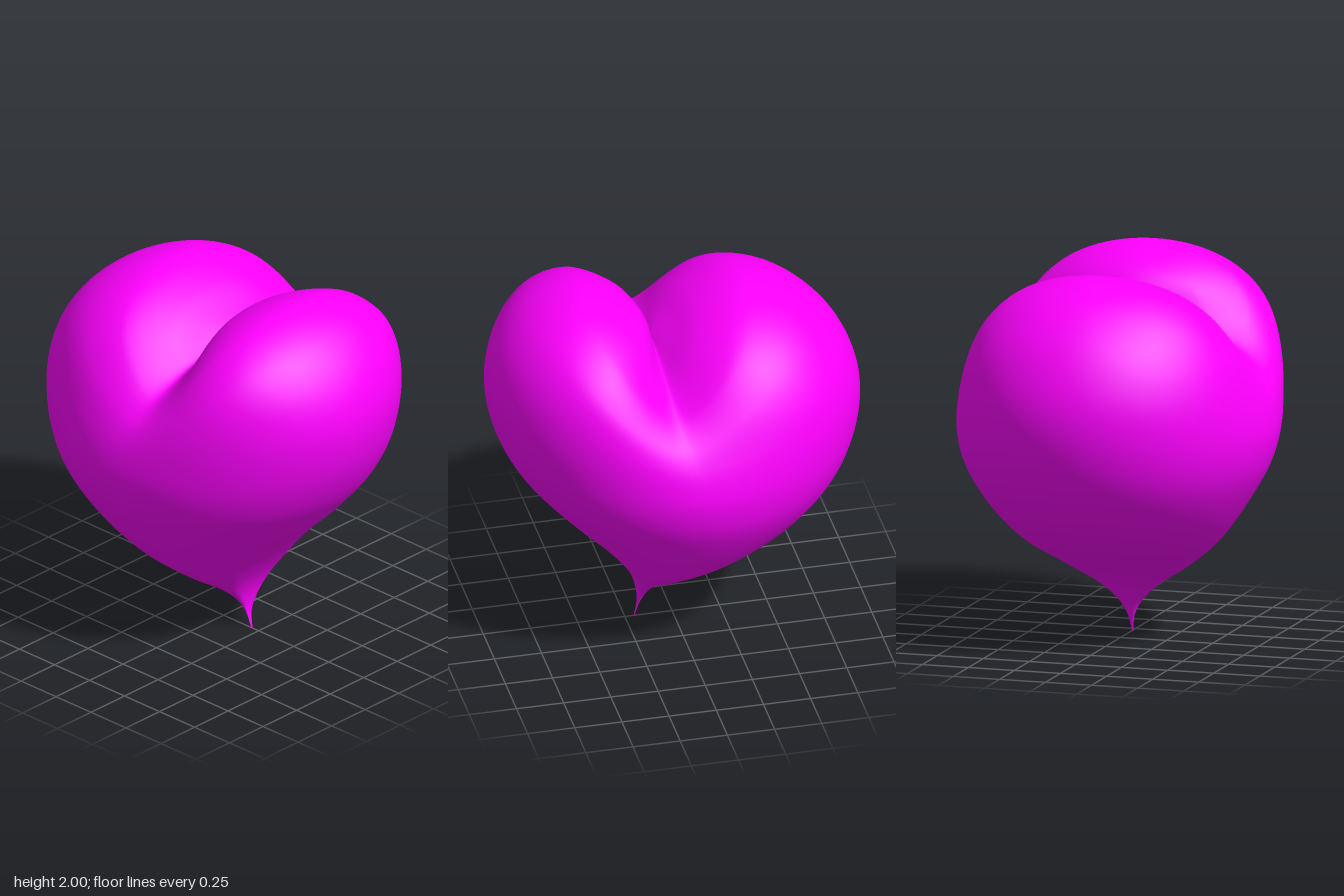
import * as THREE from 'three';

// Rings from the cleft down to the tip: left x, y | right x, y | front x, y, z
const RINGS = [
  [0.12, 1.70, 0.12, 1.70, 0.12, 1.70, 0],
  [0.03, 1.775, 0.145, 1.80, 0.12, 1.68, 0.17],
  [-0.12, 1.89, 0.24, 1.91, 0.12, 1.62, 0.40],
  [-0.35, 1.965, 0.50, 2.00, 0.11, 1.52, 0.62],
  [-0.63, 1.885, 0.74, 1.925, 0.08, 1.42, 0.735],
  [-0.85, 1.69, 0.90, 1.75, 0.04, 1.32, 0.79],
  [-0.96, 1.45, 0.975, 1.50, 0.0, 1.20, 0.82],
  [-0.972, 1.23, 0.945, 1.25, -0.02, 1.09, 0.825],
  [-0.89, 0.96, 0.83, 1.00, -0.03, 0.93, 0.785],
  [-0.72, 0.725, 0.64, 0.77, -0.02, 0.71, 0.66],
  [-0.45, 0.525, 0.44, 0.57, 0.03, 0.53, 0.52],
  [-0.15, 0.385, 0.31, 0.41, 0.10, 0.38, 0.34],
  [0.04, 0.26, 0.23, 0.28, 0.15, 0.26, 0.16],
  [0.12, 0.17, 0.195, 0.18, 0.17, 0.17, 0.065],
  [0.17, 0.09, 0.185, 0.09, 0.18, 0.09, 0.02],
  [0.20, 0.0, 0.204, 0.0, 0.202, 0.0, 0.004],
];

function heartGeometry(rows, cols) {
  const curve = (pick) => new THREE.CatmullRomCurve3(RINGS.map((r) => new THREE.Vector3(...pick(r))));
  const left = curve((r) => [r[0], r[1], 0]);
  const right = curve((r) => [r[2], r[3], 0]);
  const front = curve((r) => [r[4], r[5], r[6]]);
  const positions = [];
  const index = [];

  for (let i = 0; i <= rows; i++) {
    const t = i / rows;
    const L = left.getPoint(t), R = right.getPoint(t), F = front.getPoint(t);
    const mx = (L.x + R.x) / 2, my = (L.y + R.y) / 2;
    // the upper rings swell over the two lobes
    const swell = 0.4 * (1 - THREE.MathUtils.smoothstep(t * (RINGS.length - 1), 3, 7));
    for (let j = 0; j < cols; j++) {
      const a = (j / cols) * Math.PI * 2;
      const c = Math.cos(a), s = Math.sin(a);
      const dip = 1 - Math.pow(Math.abs(c), 1.5);
      positions.push(
        mx + c * (R.x - L.x) / 2 + (F.x - mx) * s * s,
        Math.max(0, my + c * (R.y - L.y) / 2 + (F.y - my) * dip),
        F.z * s * (1 + swell * c * c),
      );
      if (i < rows) {
        const k = (j + 1) % cols;
        const p = i * cols + j, q = i * cols + k;
        if (i > 0) index.push(p, q, p + cols);
        index.push(q, q + cols, p + cols);
      }
    }
  }
  const geometry = new THREE.BufferGeometry();
  geometry.setAttribute('position', new THREE.Float32BufferAttribute(positions, 3));
  geometry.setIndex(index);
  geometry.computeVertexNormals();
  return geometry;
}

export function createModel() {
  const group = new THREE.Group();
  group.name = 'heart';
  const body = new THREE.Mesh(
    heartGeometry(150, 128),
    new THREE.MeshStandardMaterial({ color: 0xff00ff }),
  );
  body.name = 'heartBody';
  group.add(body);
  return group;
}
